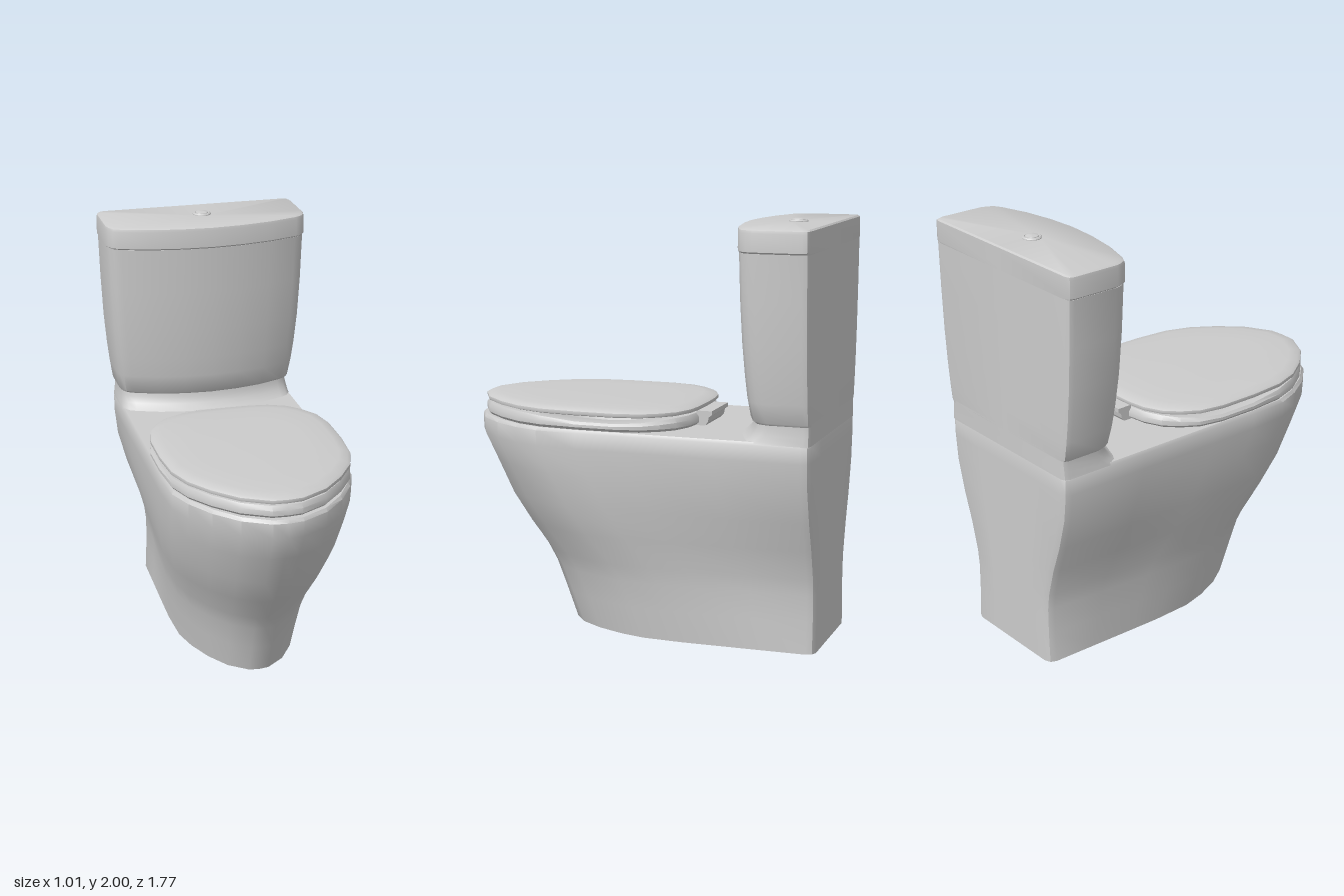
import * as THREE from 'three';
import { toCreasedNormals } from 'three/addons/utils/BufferGeometryUtils.js';

const material = new THREE.MeshStandardMaterial({ color: 0xcccccc, side: THREE.DoubleSide });

// Mirrors a half outline [x, z] (back centre to front centre) into a full ring at height y (number or function of z).
function ring(half, y) {
  const mirrored = half.slice(1, -1).reverse().map(([x, z]) => [-x, z]);
  return [...half, ...mirrored].map(([x, z]) => [x, typeof y === 'function' ? y(z) : y, z]);
}

// Skins a stack of rings, closing either end with a fan.
function loft(rings, capStart = true, capEnd = true, crease = 0.7) {
  const n = rings[0].length;
  const positions = rings.flat(2);
  const index = [];
  for (let r = 0; r < rings.length - 1; r++) {
    for (let i = 0; i < n; i++) {
      const j = (i + 1) % n, a = r * n, b = a + n;
      index.push(a + i, b + i, b + j, a + i, b + j, a + j);
    }
  }
  const cap = (r, up) => {
    const c = positions.length / 3;
    for (let k = 0; k < 3; k++) positions.push(rings[r].reduce((s, p) => s + p[k], 0) / n);
    for (let i = 0; i < n; i++) {
      const p = r * n + i, q = r * n + (i + 1) % n;
      index.push(c, up ? q : p, up ? p : q);
    }
  };
  if (capStart) cap(0, false);
  if (capEnd) cap(rings.length - 1, true);
  const geometry = new THREE.BufferGeometry();
  geometry.setAttribute('position', new THREE.Float32BufferAttribute(positions, 3));
  geometry.setIndex(index);
  return toCreasedNormals(geometry, crease);
}

// Pedestal outline: square back of half-width wb, sides of half-width w, rounded nose at z = f.
function bodyHalf(w, wb, f, back = -0.88) {
  const z0 = f - 0.685;
  const side = (t) => [wb + (w - wb) * t, THREE.MathUtils.lerp(back + 0.04, z0, t)];
  const nose = [[1, 0.07], [0.97, 0.36], [0.865, 0.54], [0.685, 0.73], [0.45, 0.89], [0.16, 0.99], [0, 1]];
  return [
    [0, back], [wb * 0.5, back], [wb - 0.04, back], [wb - 0.012, back + 0.012], [wb, back + 0.04],
    side(0.4), side(0.8), ...nose.map(([u, v]) => [u * w, z0 + v * 0.685]),
  ];
}

// Egg-shaped seat outline, scaled about the middle of the bowl.
const EGG = [
  [0, -0.265], [0.13, -0.262], [0.22, -0.25], [0.31, -0.21], [0.37, -0.15], [0.42, -0.07], [0.444, 0.05],
  [0.445, 0.25], [0.43, 0.43], [0.385, 0.56], [0.305, 0.68], [0.2, 0.79], [0.07, 0.86], [0, 0.865],
];
const egg = (s) => EGG.map(([x, z]) => [x * s, 0.3 + (z - 0.3) * s]);

// Cistern outline: flat back, rounded corners and a bowed front reaching z = f.
function tankHalf(w, f, back = -0.88) {
  return [
    [0, back], [w - 0.03, back], [w - 0.008, back + 0.008], [w, back + 0.03],
    [w, f - 0.16], [w - 0.008, f - 0.13], [w - 0.025, f - 0.1], [w - 0.06, f - 0.08],
    [w * 0.6, f - 0.036], [w * 0.3, f - 0.01], [0, f],
  ];
}

export function createModel() {
  const model = new THREE.Group();
  const add = (name, geometry) => {
    const mesh = new THREE.Mesh(geometry, material);
    mesh.name = name;
    model.add(mesh);
    return mesh;
  };

  // Pedestal with flared sides, flat deck and hollow bowl: [y, half-width, back half-width, front z]
  const bodyRows = [
    [0, 0.305, 0.295, 0.4], [0.15, 0.32, 0.288, 0.455], [0.28, 0.335, 0.287, 0.505], [0.36, 0.35, 0.297, 0.55],
    [0.5, 0.385, 0.335, 0.655], [0.64, 0.418, 0.385, 0.745], [0.8, 0.438, 0.428, 0.82],
    [0.93, 0.445, 0.442, 0.885], [1.005, 0.445, 0.443, 0.887],
  ];
  add('pedestal', loft([
    ...bodyRows.map(([y, w, wb, f]) => ring(bodyHalf(w, wb, f), y)),
    ring(bodyHalf(0.435, 0.435, 0.875, -0.875), 1.02),
    ring(egg(0.72), 1.02), ring(egg(0.68), 0.98), ring(egg(0.55), 0.75), ring(egg(0.25), 0.55),
  ]));

  // Concave neck joining the deck to the cistern
  const neckRows = [[1.01, 0.442, -0.465], [1.025, 0.44, -0.49], [1.05, 0.437, -0.515], [1.08, 0.433, -0.53], [1.11, 0.432, -0.535]];
  add('neck', loft(neckRows.map(([y, w, f]) => ring(tankHalf(w, f), y))));

  // Cistern tapering towards the bottom
  const tankRows = [
    [1.1, 0.437, -0.53], [1.11, 0.444, -0.52], [1.2, 0.458, -0.505], [1.3, 0.47, -0.495],
    [1.45, 0.483, -0.483], [1.65, 0.493, -0.473], [1.875, 0.5, -0.467],
  ];
  add('tank', loft(tankRows.map(([y, w, f]) => ring(tankHalf(w, f), y))));

  // Cistern lid with softened top edge
  const lidRows = [[1.875, 0.498, -0.468], [1.882, 0.505, -0.462], [1.965, 0.505, -0.462], [1.978, 0.502, -0.465], [1.985, 0.492, -0.475]];
  add('tankLid', loft(lidRows.map(([y, w, f], i) => ring(tankHalf(w, f, i === 4 ? -0.873 : -0.88), y))));

  // Flush button in a raised collar
  const buttonProfile = [[0.045, 1.98], [0.045, 1.988], [0.04, 1.993], [0.034, 1.993], [0.032, 1.989], [0.03, 1.995], [0.018, 2], [0, 2]];
  add('flushButton', toCreasedNormals(
    new THREE.LatheGeometry(buttonProfile.map(([x, y]) => new THREE.Vector2(x, y)), 24), 0.6)).position.z = -0.7;

  // Seat ring, dipping along its sides
  const dip = (z) => 0.022 * Math.max(0, 1 - ((z - 0.14) / 0.34) ** 2);
  const seatRows = [[0.975, 1.022, 0], [1, 1.035, 0], [1, 1.06, 0.6], [0.975, 1.08, 1], [0.75, 1.08, 1], [0.7, 1.06, 0.6], [0.7, 1.022, 0], [0.975, 1.022, 0]];
  add('seat', loft(seatRows.map(([s, y, d]) => ring(egg(s), (z) => y - d * dip(z))), false, false));

  // Seat cover, gently domed
  const coverRows = [[0.96, 1.088], [0.995, 1.093], [1, 1.1], [0.997, 1.11], [0.97, 1.119], [0.88, 1.126], [0.6, 1.13]];
  add('seatCover', loft(coverRows.map(([s, y]) => ring(egg(s), y))));

  // Hinge block behind the cover
  const hinge = new THREE.Shape([[0.25, 1.09], [0.325, 1.09], [0.325, 1.07], [0.31, 1.06], [0.305, 1.035], [0.29, 1.018], [0.25, 1.018]]
    .map(([x, y]) => new THREE.Vector2(x, y)));
  const hingeMesh = add('hinge', new THREE.ExtrudeGeometry(hinge, { depth: 0.26, bevelEnabled: false }));
  hingeMesh.rotation.y = Math.PI / 2;
  hingeMesh.position.x = -0.13;

  return model;
}
